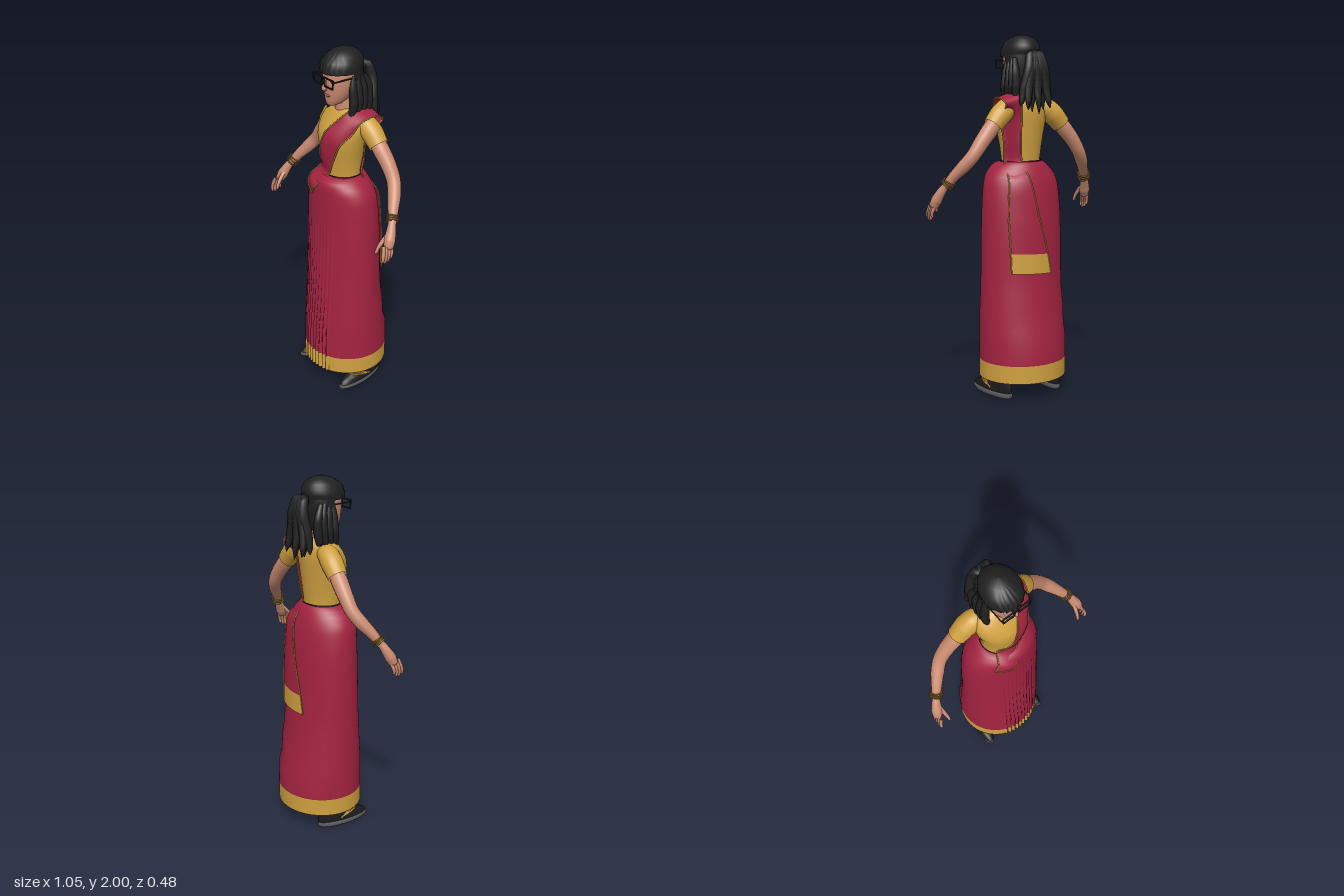
import * as THREE from 'three';
import { mergeVertices } from 'three/addons/utils/BufferGeometryUtils.js';

const mat = (name, color, side = THREE.FrontSide) => {
  const m = new THREE.MeshStandardMaterial({ color, side });
  m.name = name;
  return m;
};
const M = {
  crimson: mat('crimson cloth', 0xa42341, THREE.DoubleSide),
  gold: mat('gold cloth', 0xcfa040, THREE.DoubleSide),
  skin: mat('skin', 0xc98a70),
  hair: mat('black hair', 0x202020, THREE.DoubleSide),
  black: mat('black trim', 0x1b1b1d, THREE.DoubleSide),
  sole: mat('grey sole', 0x5a5a5c),
  bangle: mat('bangle metal', 0xa07c2c),
  white: mat('eye white', 0xe6e0da),
  lips: mat('lips', 0xa85f56),
};

// Body sections: [y, half width, front z, back z], rising in y
const TORSO = [[1.22, .112, .11, -.08], [1.32, .11, .118, -.08], [1.4, .12, .128, -.09], [1.46, .132, .138, -.095],
  [1.52, .145, .142, -.1], [1.56, .15, .132, -.105], [1.6, .152, .108, -.104], [1.635, .14, .08, -.1],
  [1.66, .11, .06, -.09], [1.675, .075, .045, -.07], [1.68, .045, .04, -.04]];
const SKIRT = [[.1, .25, .235, -.235], [.2, .25, .233, -.235], [.33, .25, .228, -.23], [.38, .249, .224, -.21],
  [.5, .247, .214, -.2], [.58, .242, .208, -.185], [.7, .24, .2, -.176], [.85, .24, .192, -.17], [1, .237, .186, -.163],
  [1.1, .232, .182, -.155], [1.18, .224, .18, -.145], [1.23, .211, .18, -.132], [1.265, .186, .179, -.118],
  [1.29, .16, .172, -.106], [1.305, .14, .15, -.097], [1.31, .128, .136, -.09], [1.312, .114, .122, -.083]];
const HEAD = [[1.7, .004, .09, .08], [1.704, .022, .106, .05], [1.715, .038, .116, .02], [1.74, .058, .12, -.02],
  [1.78, .077, .122, -.05], [1.82, .088, .124, -.07], [1.87, .092, .125, -.08], [1.92, .088, .115, -.08],
  [1.96, .064, .08, -.05], [1.98, .01, .03, .01]];

function sectionAt(secs, y) {
  const i = Math.max(1, secs.findIndex((s, k) => s[0] >= y || k === secs.length - 1));
  const [a, b] = [secs[i - 1], secs[i]];
  const t = THREE.MathUtils.clamp((y - a[0]) / (b[0] - a[0]), 0, 1);
  return a.map((v, k) => v + (b[k] - v) * t);
}
function smooth(g) {
  g.deleteAttribute('uv');
  g.deleteAttribute('normal');
  g = mergeVertices(g, 1e-5);
  g.computeVertexNormals();
  return g;
}
function grid(rows) {
  const n = rows[0].length, idx = [];
  for (let i = 0; i < rows.length - 1; i++) for (let j = 0; j < n - 1; j++) {
    const a = i * n + j;
    idx.push(a, a + 1, a + n, a + 1, a + n + 1, a + n);
  }
  const g = new THREE.BufferGeometry();
  g.setAttribute('position', new THREE.Float32BufferAttribute(rows.flat(2), 3));
  g.setIndex(idx);
  return smooth(g);
}
// Stacked elliptical rings, optionally only an arc of each
function loft(secs, segs = 40, a0 = 0, a1 = Math.PI * 2, mod = () => 0) {
  return grid(secs.map(([y, rx, zf, zb]) => Array.from({ length: segs + 1 }, (_, j) => {
    const a = a0 + (a1 - a0) * j / segs, x = rx * Math.sin(a);
    return [x, y, (zf + zb) / 2 + (zf - zb) / 2 * Math.cos(a) + mod(x, y, Math.cos(a))];
  })));
}
// Tapered tube through [x, y, z, radius] points
function limb(pts, sides = 14, steps = 24) {
  const curve = new THREE.CatmullRomCurve3(pts.map(p => new THREE.Vector3(p[0], p[1], p[2])));
  const g = new THREE.TubeGeometry(curve, steps, 1, sides), pos = g.attributes.position, v = new THREE.Vector3();
  for (let i = 0; i < pos.count; i++) {
    const u = Math.floor(i / (sides + 1)) / steps, f = curve.getUtoTmapping(u) * (pts.length - 1);
    const k = Math.min(Math.floor(f), pts.length - 2), r = THREE.MathUtils.lerp(pts[k][3], pts[k + 1][3], f - k);
    const c = curve.getPointAt(u);
    v.fromBufferAttribute(pos, i).sub(c).multiplyScalar(r).add(c);
    pos.setXYZ(i, v.x, v.y, v.z);
  }
  return smooth(g);
}
function add(parent, name, g, m, p = [0, 0, 0], s = [1, 1, 1]) {
  const mesh = new THREE.Mesh(g, m);
  mesh.name = name;
  mesh.position.set(...p);
  mesh.scale.set(...s);
  parent.add(mesh);
  return mesh;
}
const ball = new THREE.SphereGeometry(1, 20, 14);

// Depth of the clothed body at x, y on the front (1) or back (-1)
function surfaceZ(x, y, side) {
  const [, rx, zf, zb] = sectionAt(y < 1.29 ? SKIRT : TORSO, y);
  const k = Math.min(Math.abs(x) / rx, .96);
  return (zf + zb) / 2 + side * ((zf - zb) / 2 * Math.sqrt(1 - k * k) + .012);
}

function buildSash(root) {
  // Rows: inner edge x, y, outer edge x, y, side; shoulder rows give both depths instead
  const rows = [[-.14, 1.245, -.05, 1.2, 1], [-.115, 1.285, -.02, 1.25, 1], [-.085, 1.34, .02, 1.315, 1],
    [-.05, 1.4, .05, 1.38, 1], [-.02, 1.48, .08, 1.45, 1], [.01, 1.56, .105, 1.51, 1], [.045, 1.62, .14, 1.57, 1],
    [.08, 1.672, .17, 1.64, .045, .025], [.085, 1.69, .185, 1.663, -.03, -.04], [.08, 1.665, .175, 1.63, -.11, -.115],
    [.07, 1.56, .15, 1.54, -1], [.062, 1.42, .135, 1.42, -1], [.05, 1.3, .13, 1.3, -1], [.04, 1.22, .15, 1.22, -1],
    [0, 1.02, .165, 1.05, -1], [-.055, .81, .16, .82, -1], [-.075, .7, .158, .71, -1]];
  const cols = Array.from({ length: 9 }, (_, j) => new THREE.CatmullRomCurve3(rows.map(([xa, ya, xb, yb, s, zb]) => {
    const t = j / 8, x = xa + (xb - xa) * t, y = ya + (yb - ya) * t;
    return new THREE.Vector3(x, y, zb === undefined ? surfaceZ(x, y, s) : s + (zb - s) * t);
  })));
  const strip = (t0, t1, n) => grid(Array.from({ length: n + 1 }, (_, i) =>
    cols.map(c => c.getPoint(t0 + (t1 - t0) * i / n).toArray())));
  add(root, 'sash', strip(0, 15 / 16, 90), M.crimson);
  add(root, 'sashEndBorder', strip(15 / 16, 1, 6), M.gold);
  for (const c of [cols[0], cols[8]]) add(root, 'sashEdging', new THREE.TubeGeometry(c, 120, .004, 6), M.gold);
  const hem = new THREE.CatmullRomCurve3(cols.map(c => c.getPoint(0)));
  add(root, 'sashFrontEdging', new THREE.TubeGeometry(hem, 16, .004, 6), M.gold);
}

function buildHead(root) {
  const head = new THREE.Group();
  head.name = 'head';
  root.add(head);
  add(head, 'face', loft(HEAD), M.skin);
  add(head, 'neck', loft([[1.64, .06, .06, -.06], [1.68, .05, .052, -.05], [1.78, .044, .06, -.05]], 24), M.skin);
  add(head, 'nose', limb([[0, 1.86, .118, .006], [0, 1.825, .128, .009], [0, 1.802, .136, .014], [0, 1.79, .122, .006]], 10), M.skin);
  add(head, 'mouth', ball, M.lips, [0, 1.763, .117], [.024, .008, .008]);
  for (const s of [1, -1]) {
    add(head, 'eye', ball, M.white, [s * .038, 1.845, .111], [.018, .009, .006]);
    add(head, 'iris', ball, M.black, [s * .038, 1.845, .115], [.008, .008, .004]);
    add(head, 'ear', ball, M.skin, [s * .09, 1.82, .01], [.01, .028, .018]);
    // Glasses: one rim and one temple on each side
    const rim = new THREE.Shape(), hole = new THREE.Path();
    for (const [p, w, h] of [[rim, .042, .026], [hole, .035, .019]])
      p.moveTo(-w, h).lineTo(w, h).lineTo(w * .85, -h).lineTo(-w * .85, -h).closePath();
    rim.holes.push(hole);
    add(head, 'glassesRim', new THREE.ExtrudeGeometry(rim, { depth: .007, bevelEnabled: false }), M.black, [s * .048, 1.843, .137]);
    add(head, 'glassesTemple', new THREE.BoxGeometry(.005, .007, .14), M.black, [s * .092, 1.858, .072]);
  }
  add(head, 'glassesBridge', new THREE.BoxGeometry(.016, .006, .007), M.black, [0, 1.852, .141]);

  // Hair: cap with ragged fringe, back shell, ponytail and side locks
  const cap = [[1.882, .101, .142, -.09], [1.91, .104, .142, -.1], [1.94, .098, .13, -.1], [1.965, .082, .105, -.085],
    [1.985, .057, .073, -.057], [1.996, .03, .042, -.03], [2, .001, .006, .004]];
  add(head, 'hairCap', loft(cap, 72, 0, Math.PI * 2, (x, y, c) => c > 0 && y < 1.97 ? .004 * Math.cos(x * 260) : 0), M.hair);
  add(head, 'hairBack', loft([[1.72, .065, .02, -.065], [1.77, .09, .05, -.08], [1.83, .1, .07, -.095], [1.89, .102, .13, -.098]],
    32, Math.PI * .47, Math.PI * 1.53), M.hair);
  add(head, 'hairTie', new THREE.TorusGeometry(.026, .012, 8, 20), M.black, [0, 1.88, -.105]);
  for (let i = -4; i <= 4; i++) {
    const back = .02 * Math.cos(i * 2.1), x = i * .02;
    add(head, 'ponytailStrand', limb([[0, 1.87, -.085, .016], [x * .35, 1.895, -.12, .022], [x * .6, 1.82, -.142, .026],
      [x * .9, 1.72, -.138 - back * .5, .025], [x * 1.1, 1.64, -.143 - back, .016],
      [x * 1.2, 1.575 + Math.abs(i) * .01, -.148 - back, .002]], 8), M.hair);
  }
  for (const s of [1, -1]) for (let i = 0; i < 4; i++) {
    const z = .02 - i * .034;
    add(head, 'sideLock', limb([[s * .085, 1.87, z * .7, .012], [s * .094, 1.8, z, .021], [s * (.1 - i * .003), 1.72, z, .025],
      [s * .096, 1.66, z + .01, .018], [s * (.088 + i * .004), 1.615 + i * .012, z + .015, .002]], 8), M.hair);
  }
}

function buildArm(root, s) {
  const arm = new THREE.Group();
  arm.name = s > 0 ? 'leftArm' : 'rightArm';
  root.add(arm);
  const flip = pts => pts.map(([x, y, z, r]) => [s * x, y, z, r]);
  add(arm, 'sleeve', limb(flip([[.075, 1.615, -.035, .045], [.125, 1.602, -.04, .058], [.17, 1.568, -.048, .06],
    [.222, 1.512, -.053, .053]]), 20), M.gold);
  add(arm, 'upperArmAndForearm', limb(flip([[.17, 1.57, -.048, .04], [.24, 1.49, -.055, .045], [.295, 1.425, -.06, .041],
    [.345, 1.355, -.055, .037], [.385, 1.3, -.028, .036], [.425, 1.245, .01, .029], [.462, 1.185, .046, .022]]), 18, 40), M.skin);
  // Hand with four fingers and a thumb
  add(arm, 'palm', limb(flip([[.455, 1.2, .04, .018], [.475, 1.16, .062, .025], [.492, 1.115, .085, .031],
    [.502, 1.08, .1, .025], [.505, 1.065, .105, .003]]), 14), M.skin);
  for (let i = 0; i < 4; i++) {
    const z = .078 + i * .018, drop = [.018, .004, 0, .008][i];
    add(arm, 'finger', limb(flip([[.5, 1.1, z, .01], [.513, 1.06, z + .01, .01], [.517, 1.03 + drop * .5, z + .016, .009],
      [.512, 1.005 + drop, z + .017, .007], [.51, .999 + drop, z + .017, .001]]), 8, 12), M.skin);
  }
  add(arm, 'thumb', limb(flip([[.475, 1.145, .075, .012], [.468, 1.105, .115, .012], [.463, 1.075, .137, .01],
    [.46, 1.045, .15, .008], [.459, 1.038, .152, .001]]), 8, 12), M.skin);
  for (let i = 0; i < 3; i++) {
    const b = add(arm, 'bangle', new THREE.TorusGeometry(.033, .004, 8, 28), M.bangle,
      [s * (.442 + i * .007), 1.218 - i * .011, .027 + i * .007]);
    b.lookAt(b.position.x + s * (.037 + (i - 1) * .012), b.position.y - .06, b.position.z + .034);
  }
}

function buildFoot(root, s) {
  const foot = new THREE.Group();
  foot.name = s > 0 ? 'leftFoot' : 'rightFoot';
  foot.position.set(s * .175, 0, 0);
  foot.rotation.y = s * .14;
  root.add(foot);
  add(foot, 'sole', loft([[0, .001, .03, .02], [0, .046, .175, -.125], [.012, .051, .192, -.134], [.032, .05, .19, -.132], [.034, .001, .03, .02]]), M.sole);
  const shoe = [[.03, .049, .186, -.13], [.05, .047, .172, -.132], [.065, .044, .135, -.132], [.085, .039, .085, -.13], [.115, .034, .03, -.127]];
  add(foot, 'shoe', loft(shoe), M.black);
  add(foot, 'leg', limb([[0, .04, -.05, .035], [0, .14, -.05, .034], [0, .3, -.05, .045], [-s * .03, .6, -.02, .06]]), M.skin);
  // Gold lacing wound over the instep and sides
  for (let i = 0; i < 4; i++) {
    const pts = [-1, -.7, -.35, 0, .35, .7, 1].map(k => {
      const y = .045 + (1 - k * k) * (.055 - i * .01) + i * .002, [, rx, zf, zb] = sectionAt(shoe, y);
      const a = k * 1.75;
      return [rx * Math.sin(a) * 1.03, y, (zf + zb) / 2 + (zf - zb) / 2 * Math.cos(a) * 1.01, .0045];
    });
    add(foot, 'lace', limb(pts, 6, 24), M.gold);
  }
}

export function createModel() {
  const root = new THREE.Group();
  root.name = 'womanInSari';
  add(root, 'blouse', loft(TORSO, 48), M.gold);
  add(root, 'waistband', loft([[1.3, .12, .128, -.09], [1.318, .117, .125, -.087]], 40), M.black);

  // Skirt with front pleats that deepen towards the hem
  const pleat = (x, y, c) => c > 0 && Math.abs(x) < .118 ? .007 * Math.cos(x * Math.PI * 2 / .026) * Math.max(0, 1 - y / 1.2) : 0;
  add(root, 'skirt', loft(SKIRT.slice(1), 240, 0, Math.PI * 2, pleat), M.crimson);
  add(root, 'skirtBorder', loft(SKIRT.slice(0, 2), 240, 0, Math.PI * 2, pleat), M.gold);

  buildSash(root);
  buildHead(root);
  for (const s of [1, -1]) {
    buildArm(root, s);
    buildFoot(root, s);
  }
  return root;
}
